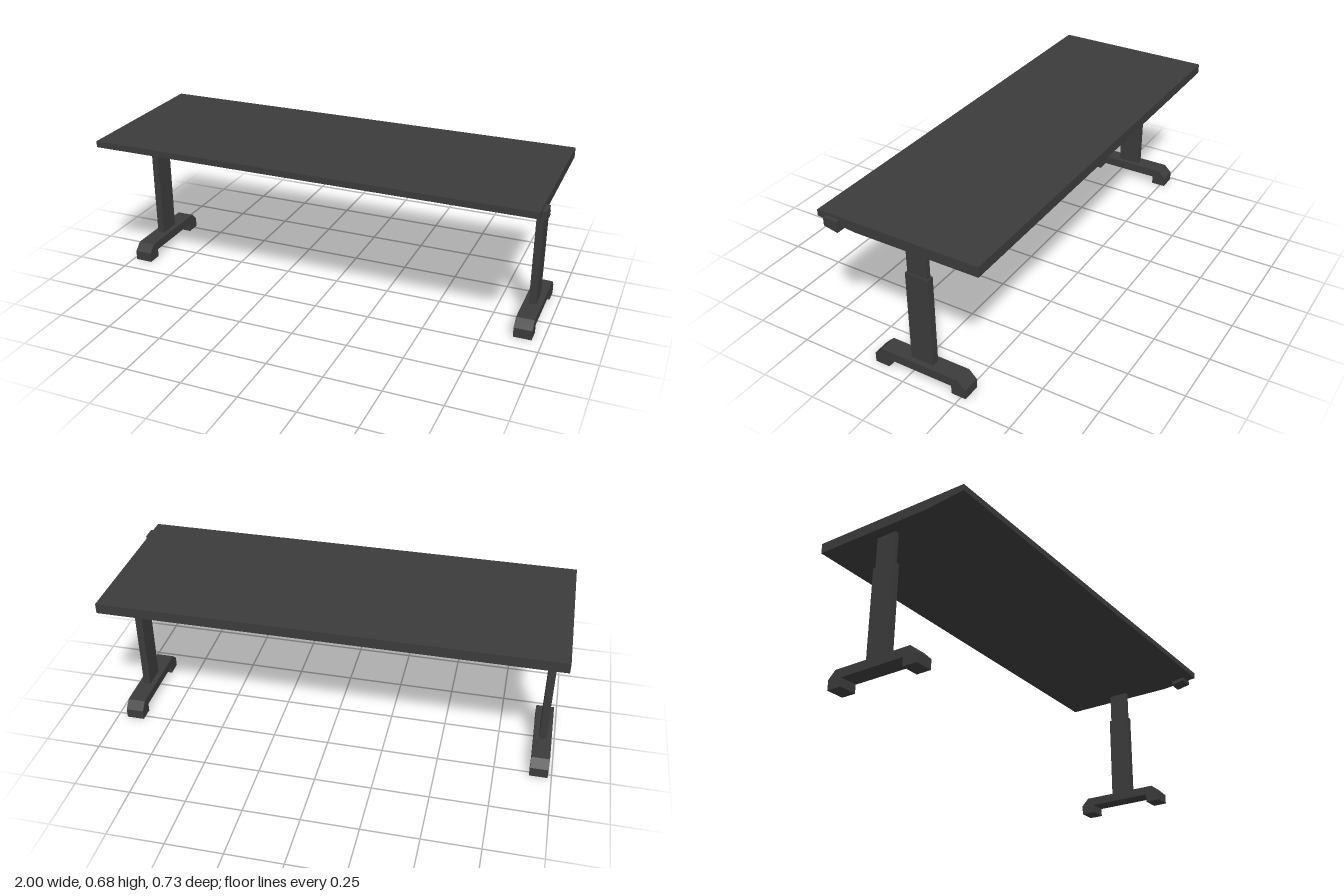
import * as THREE from 'three';

const charcoal = new THREE.MeshStandardMaterial({ color: 0x3b3b3b });
charcoal.name = 'charcoal';

// Extrudes a side profile of [z, y] points from x0 to x1
function sideProfile(name, points, x0, x1) {
  const shape = new THREE.Shape(points.map(([z, y]) => new THREE.Vector2(-z, y)));
  const geometry = new THREE.ExtrudeGeometry(shape, { depth: x1 - x0, bevelEnabled: false });
  geometry.rotateY(Math.PI / 2).translate(x0, 0, 0);
  const mesh = new THREE.Mesh(geometry, charcoal);
  mesh.name = name;
  return mesh;
}

// Box given by its extents on each axis
function block(name, [x0, x1], [y0, y1], [z0, z1]) {
  const mesh = new THREE.Mesh(new THREE.BoxGeometry(x1 - x0, y1 - y0, z1 - z0), charcoal);
  mesh.position.set((x0 + x1) / 2, (y0 + y1) / 2, (z0 + z1) / 2);
  mesh.name = name;
  return mesh;
}

// Telescoping column on an arched foot with chamfered ends
function createLeg(name, x) {
  const leg = new THREE.Group();
  leg.name = name;
  leg.add(
    sideProfile('foot', [
      [0.167, 0], [0.167, 0.044], [0.132, 0.078], [-0.238, 0.078], [-0.272, 0.044],
      [-0.272, 0], [-0.205, 0], [-0.205, 0.038], [0.1, 0.038], [0.1, 0],
    ], -0.04, 0.04),
    block('lowerColumn', [-0.016, 0.016], [0.078, 0.493], [-0.106, 0]),
    block('upperColumn', [-0.01, 0.01], [0.493, 0.636], [-0.1, -0.007]),
  );
  leg.position.x = x;
  return leg;
}

export function createModel() {
  const desk = new THREE.Group();
  desk.name = 'standingDesk';

  // Top with its underside tapering up towards the front edge
  desk.add(sideProfile('tabletop', [
    [0.366, 0.652], [0.366, 0.68], [-0.366, 0.68], [-0.366, 0.635], [0.187, 0.635],
  ], -1, 0.975));

  desk.add(createLeg('rightLeg', -0.944), createLeg('leftLeg', 0.915));

  // Height control hooked around the edge, with two buttons
  const control = new THREE.Group();
  control.name = 'heightControl';
  control.add(sideProfile('controlBody', [
    [0.322, 0.632], [0.322, 0.669], [0.257, 0.669], [0.257, 0.62],
  ], 0.925, 0.994));
  for (const y of [0.644, 0.657]) {
    control.add(block('button', [0.99, 1], [y - 0.004, y + 0.004], [0.283, 0.297]));
  }
  desk.add(control);
  return desk;
}
